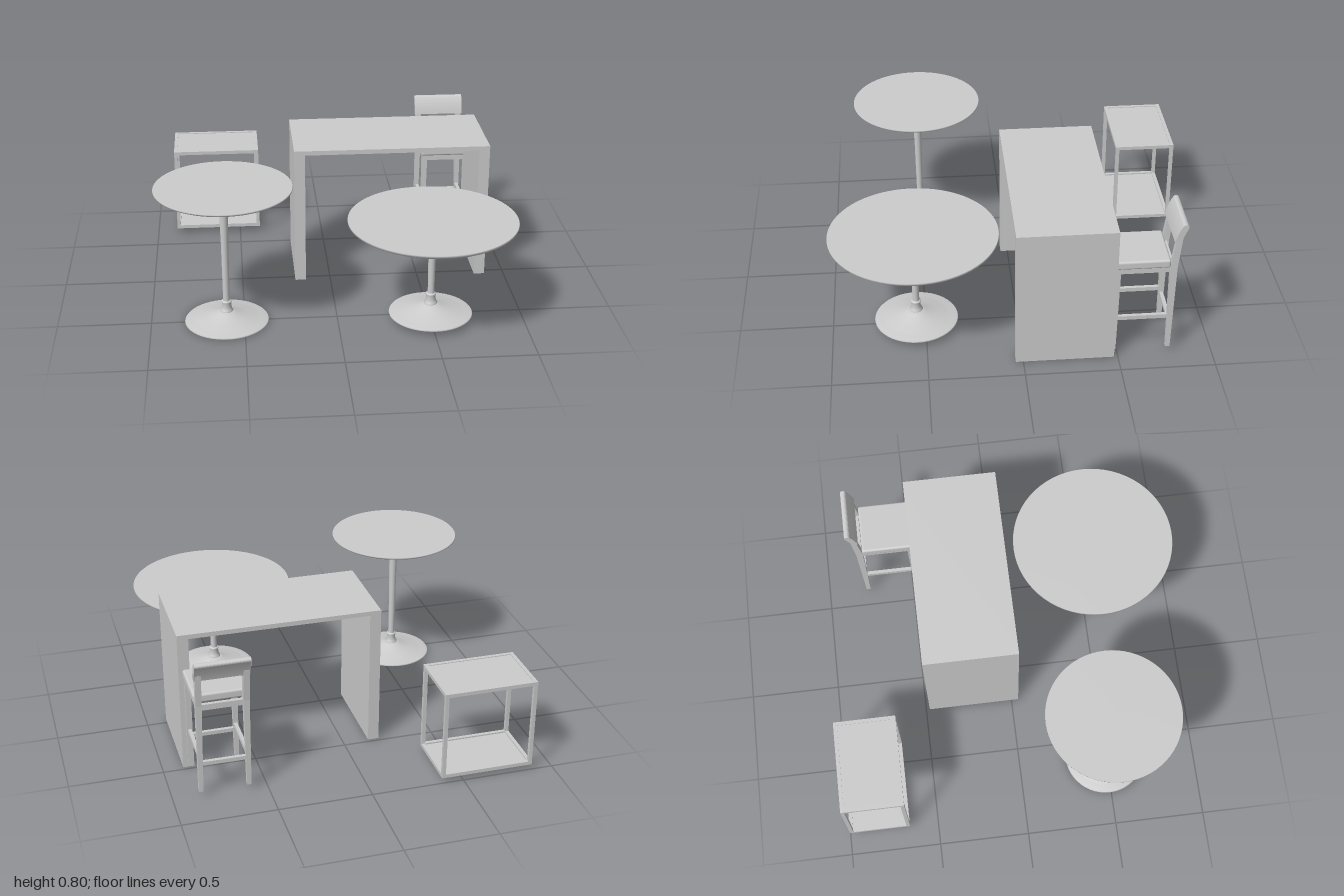
import * as THREE from 'three';
import { RoundedBoxGeometry } from 'three/addons/geometries/RoundedBoxGeometry.js';

const material = new THREE.MeshStandardMaterial({ color: 0xcccccc });

function add(parent, name, geometry, x = 0, y = 0, z = 0) {
  const mesh = new THREE.Mesh(geometry, material);
  mesh.name = name;
  mesh.position.set(x, y, z);
  parent.add(mesh);
  return mesh;
}

function group(parent, name, x = 0, y = 0, z = 0) {
  const g = new THREE.Group();
  g.name = name;
  g.position.set(x, y, z);
  parent.add(g);
  return g;
}

// Box given by its minimum and maximum corners
function block(parent, name, x0, x1, y0, y1, z0, z1) {
  return add(parent, name, new THREE.BoxGeometry(x1 - x0, y1 - y0, z1 - z0),
    (x0 + x1) / 2, (y0 + y1) / 2, (z0 + z1) / 2);
}

// Four-sided post between two rectangles [x0, x1, y, z0, z1]
function post(parent, name, low, high) {
  const geometry = new THREE.BoxGeometry(1, 1, 1).toNonIndexed();
  const p = geometry.attributes.position;
  for (let i = 0; i < p.count; i++) {
    const r = p.getY(i) > 0 ? high : low;
    p.setXYZ(i, p.getX(i) < 0 ? r[0] : r[1], r[2], p.getZ(i) < 0 ? r[3] : r[4]);
  }
  geometry.computeVertexNormals();
  return add(parent, name, geometry);
}

function lathe(parent, name, profile, segments = 48) {
  return add(parent, name, new THREE.LatheGeometry(profile.map(([r, y]) => new THREE.Vector2(r, y)), segments));
}

// Round pedestal table; height is measured from its own base
function pedestalTable(parent, name, x, y, z, radius, height, thickness) {
  const table = group(parent, name, x, y, z);
  const under = height - thickness;
  lathe(table, 'tableTop', [[0, under], [radius - 0.012, under], [radius, under + thickness * 0.5],
    [radius, height - 0.002], [radius - 0.002, height], [0, height]], 64);
  lathe(table, 'topMount', [[0, under - 0.02], [0.06, under - 0.02], [0.075, under - 0.012],
    [0.12, under - 0.006], [0.12, under], [0, under]], 32);
  lathe(table, 'column', [[0.019, 0.11], [0.018, 0.16], [0.02, under * 0.6], [0.025, under - 0.04], [0.026, under - 0.015]], 24);
  lathe(table, 'collar', [[0.034, 0.055], [0.036, 0.064], [0.029, 0.069], [0.029, 0.078], [0.025, 0.084],
    [0.025, 0.108], [0.028, 0.112], [0.027, 0.119], [0.018, 0.122]], 24);
  lathe(table, 'base', [[0, 0], [0.222, 0], [0.226, 0.004], [0.222, 0.009], [0.185, 0.013],
    [0.165, 0.019], [0.12, 0.029], [0.08, 0.041], [0.05, 0.053], [0.034, 0.06], [0, 0.06]]);
}

// Bar table made of two slab legs and a thin top
function barTable(parent) {
  const bar = group(parent, 'barTable');
  block(bar, 'leftLeg', 0.83, 0.89, 0, 0.785, -0.48, 0.04);
  block(bar, 'rightLeg', -0.2, -0.14, 0, 0.785, -0.48, 0.04);
  block(bar, 'barTop', -0.14, 0.83, 0.76, 0.785, -0.48, 0.04);
}

// Open box-frame side table with inset panels
function frameTable(parent) {
  const table = group(parent, 'frameTable', -0.632, 0.03, -0.83);
  const w = 0.252, d = 0.17, h = 0.5, t = 0.02;
  for (const sx of [-1, 1]) {
    for (const sz of [-1, 1]) {
      add(table, 'upright', new THREE.BoxGeometry(t, h, t), sx * (w - t / 2), h / 2, sz * (d - t / 2));
    }
  }
  for (const y of [t / 2, h - t / 2]) {
    for (const s of [-1, 1]) {
      add(table, 'longRail', new THREE.BoxGeometry(2 * (w - t), t, t), 0, y, s * (d - t / 2));
      add(table, 'shortRail', new THREE.BoxGeometry(t, t, 2 * (d - t)), s * (w - t / 2), y, 0);
    }
  }
  block(table, 'lowerPanel', -w + t, w - t, 0.001, 0.012, -d + t, d - t);
  block(table, 'upperPanel', -w + t, w - t, h - 0.014, h - 0.004, -d + t, d - t);
}

// Bar stool, built around its own x = 0 and mirrored left to right
function barStool(parent) {
  const stool = group(parent, 'barStool', 0.725, 0, 0);
  const pair = (s, a, b) => (s < 0 ? [-b, -a] : [a, b]);
  for (const s of [-1, 1]) {
    const foot = pair(s, 0.115, 0.138), top = pair(s, 0.107, 0.138);
    post(stool, 'frontLeg', [...foot, 0.03, -0.49, -0.467], [...top, 0.54, -0.5, -0.465]);
    post(stool, 'rearLeg', [...foot, 0.03, -0.779, -0.755], [...top, 0.54, -0.79, -0.753]);
    post(stool, 'backPost', [...top, 0.54, -0.79, -0.753], [...top, 0.72, -0.808, -0.779]);
    const rail = pair(s, 0.113, 0.132);
    block(stool, 'sideRail', ...rail, 0.215, 0.238, -0.755, -0.492);
    block(stool, 'sideApron', ...rail, 0.508, 0.54, -0.755, -0.498);
  }
  for (const [z0, z1] of [[-0.493, -0.473], [-0.778, -0.758]]) {
    block(stool, 'crossRail', -0.115, 0.115, 0.185, 0.206, z0, z1);
    block(stool, 'crossApron', -0.11, 0.11, 0.508, 0.54, z0, z1);
  }

  // Padded seat with a gently domed top
  const seat = new RoundedBoxGeometry(0.286, 0.048, 0.295, 4, 0.012);
  add(stool, 'seat', seat, 0, 0.563, -0.607);

  // Leaning backrest with a bowed side profile
  const side = new THREE.Shape();
  side.moveTo(0.765, 0.693);
  side.quadraticCurveTo(0.778, 0.75, 0.803, 0.79);
  side.quadraticCurveTo(0.812, 0.8, 0.824, 0.795);
  side.quadraticCurveTo(0.836, 0.79, 0.832, 0.778);
  side.quadraticCurveTo(0.808, 0.73, 0.796, 0.688);
  side.closePath();
  const back = new THREE.ExtrudeGeometry(side, { depth: 0.286, bevelEnabled: false, curveSegments: 8 });
  back.translate(0, 0, -0.143);
  back.rotateY(Math.PI / 2);
  add(stool, 'backrest', back);
}

export function createModel() {
  const model = new THREE.Group();
  model.name = 'tableSet';
  pedestalTable(model, 'tallRoundTable', -0.595, 0, 0.493, 0.363, 0.778, 0.015);
  pedestalTable(model, 'largeRoundTable', 0.502, 0.03, 0.548, 0.451, 0.55, 0.02);
  barTable(model);
  frameTable(model);
  barStool(model);
  return model;
}
